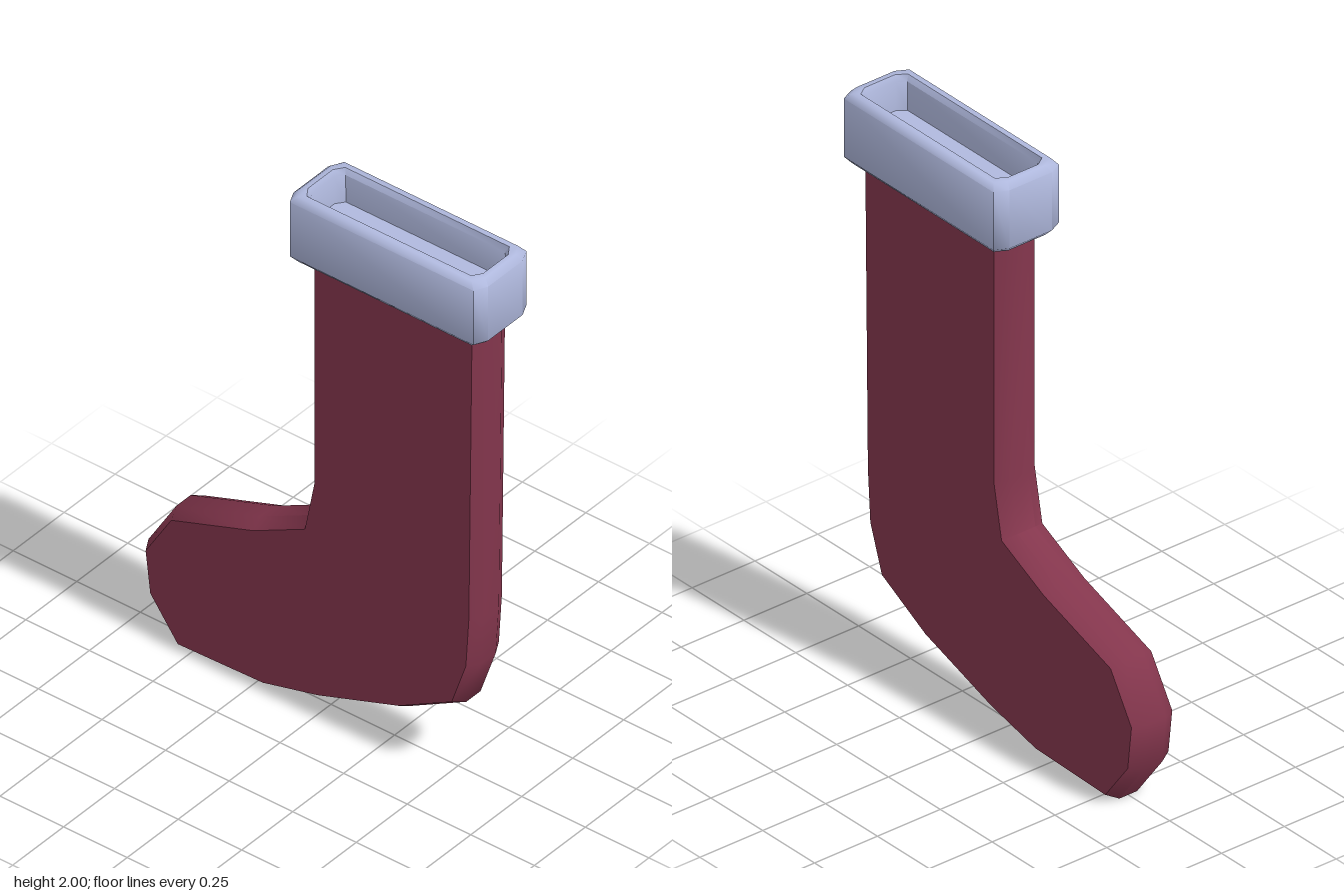
import * as THREE from 'three';
import { toCreasedNormals } from 'three/addons/utils/BufferGeometryUtils.js';

const red = new THREE.MeshStandardMaterial({ color: 0x84364d });
red.name = 'sock red';
const pale = new THREE.MeshStandardMaterial({ color: 0xb0b9de });
pale.name = 'cuff pale blue';

// Flat sock body: outline extruded with one chamfer
function sockGeometry() {
  const outline = [
    [-0.025, 1.82], [-0.025, 0.9], [-0.06, 0.72], [-0.25, 0.625], [-0.58, 0.51],
    [-0.69, 0.33], [-0.67, 0.16], [-0.55, 0], [-0.2, 0.01], [0.02, 0.065],
    [0.34, 0.175], [0.56, 0.295], [0.62, 0.47], [0.632, 0.66], [0.645, 1.82],
  ].map(([x, y]) => new THREE.Vector2(x, y));
  const chamfer = 0.025, half = 0.035;
  const g = new THREE.ExtrudeGeometry(new THREE.Shape(outline), {
    depth: half * 2, bevelEnabled: true, bevelSegments: 1,
    bevelSize: chamfer, bevelOffset: -chamfer, bevelThickness: 0.046,
  });
  g.translate(0, 0, -half);
  return toCreasedNormals(g, 0.95);
}

// Cuff: stacked cut-corner rectangles, up the outside and down into the recess
function cuffGeometry() {
  const rings = [ // half width, half depth, height
    [0, 0, 1.75], [0.362, 0.112, 1.75], [0.383, 0.13, 1.772], [0.383, 0.13, 1.98],
    [0.363, 0.114, 2], [0.345, 0.094, 2], [0.336, 0.085, 1.98],
    [0.332, 0.082, 1.88], [0, 0, 1.88],
  ];
  const pos = [], idx = [];
  for (const [w, d, y] of rings) {
    const a = Math.max(w - 0.022, 0), b = d * 0.65;
    for (const [x, z] of [[w, -b], [w, b], [a, d], [-a, d], [-w, b], [-w, -b], [-a, -d], [a, -d]])
      pos.push(x, y, z);
  }
  for (let r = 0; r < rings.length - 1; r++) {
    for (let k = 0; k < 8; k++) {
      const n = (k + 1) % 8, p = r * 8, q = p + 8;
      if (r < rings.length - 2) idx.push(p + k, q + k, q + n);
      if (r > 0) idx.push(p + k, q + n, p + n);
    }
  }
  const g = new THREE.BufferGeometry();
  g.setAttribute('position', new THREE.Float32BufferAttribute(pos, 3));
  g.setIndex(idx);
  return toCreasedNormals(g, 0.9);
}

export function createModel() {
  const group = new THREE.Group();
  group.name = 'stocking';

  const sock = new THREE.Mesh(sockGeometry(), red);
  sock.name = 'sock';

  const cuff = new THREE.Mesh(cuffGeometry(), pale);
  cuff.name = 'cuff';
  cuff.position.x = 0.303;

  group.add(sock, cuff);
  return group;
}
